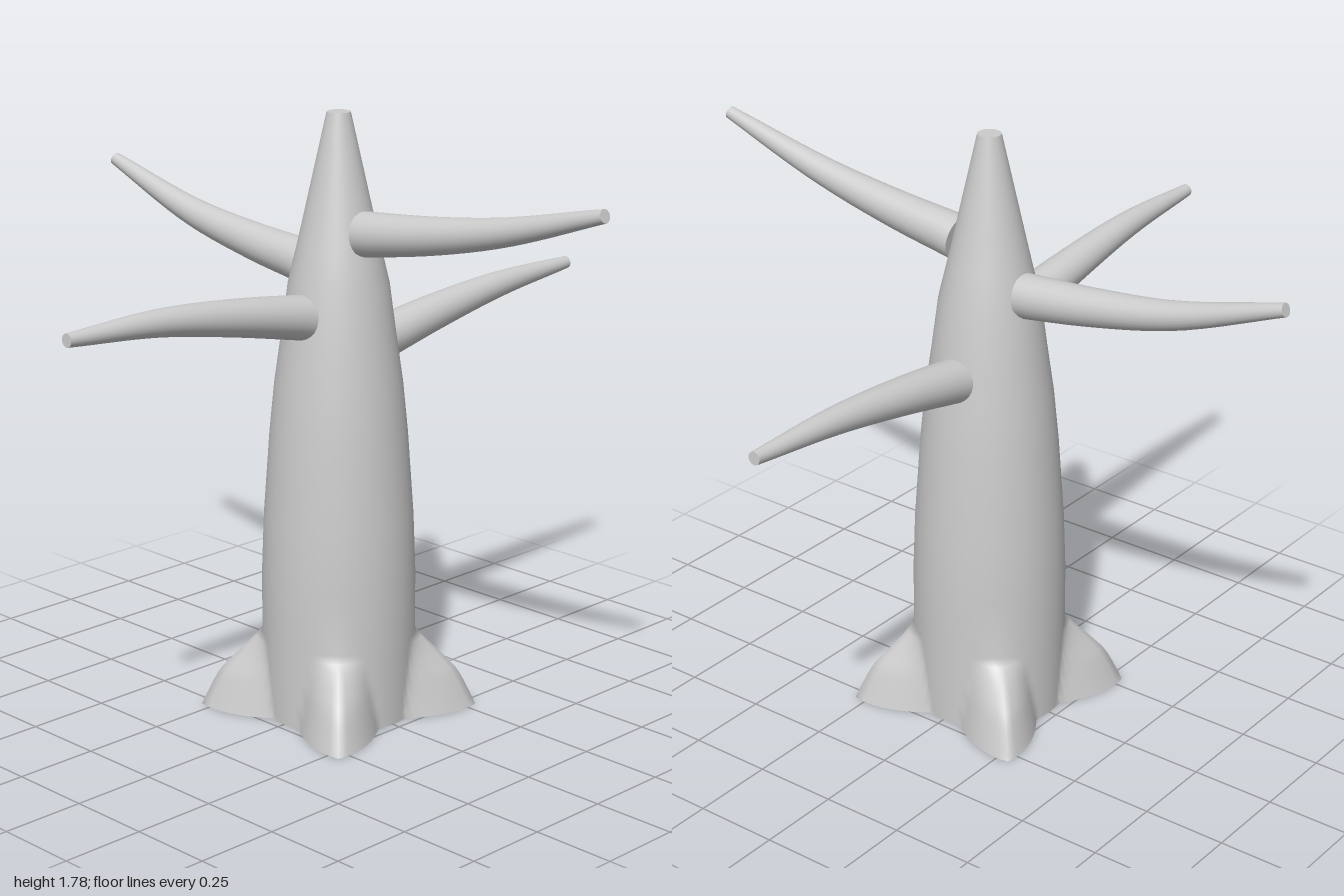
import * as THREE from 'three';
import { mergeVertices } from 'three/addons/utils/BufferGeometryUtils.js';

const material = new THREE.MeshStandardMaterial({ color: 0xcccccc });
const SIDES = 96;
const BODY_R = 0.225;
const ROOT_TOP = 0.24;

const vec = (a) => new THREE.Vector3(...a);

// Pushes the lower trunk out into four pointed roots along the diagonals
const rootReach = new THREE.SplineCurve(
  [[0, 0.407], [0.1, 0.358], [0.15, 0.316], [0.24, 0.225]].map(([y, r]) => new THREE.Vector2(y, r)));
function flareRoots(geometry) {
  const p = geometry.attributes.position;
  for (let i = 0; i < p.count; i++) {
    const x = p.getX(i), y = p.getY(i), z = p.getZ(i);
    const r = Math.hypot(x, z);
    if (y >= ROOT_TOP || r < 0.01) continue;
    // find the ridge radius at this height
    let lo = 0, hi = 1;
    for (let k = 0; k < 20; k++) {
      const mid = (lo + hi) / 2;
      if (rootReach.getPoint(mid).x < y) lo = mid; else hi = mid;
    }
    const ridge = rootReach.getPoint(hi).y;
    const quarter = Math.PI / 2;
    const a = ((Math.atan2(z, x) % quarter) + quarter) % quarter;
    const off = Math.abs(a - Math.PI / 4);
    const width = THREE.MathUtils.degToRad(31 - 13 * y / ROOT_TOP);
    const d = Math.max(0, 1 - off / width);
    const fall = 0.75 * d + 0.25 * d * d * (3 - 2 * d);
    const s = (r + (ridge - BODY_R) * fall) / r;
    p.setXYZ(i, x * s, y, z * s);
  }
  return geometry;
}

// Smooth normals, with the seam welded
function smooth(geometry) {
  geometry.deleteAttribute('uv');
  geometry.deleteAttribute('normal');
  const welded = mergeVertices(geometry, 1e-5);
  welded.computeVertexNormals();
  return welded;
}

function addMesh(parent, name, geometry) {
  const mesh = new THREE.Mesh(geometry, material);
  mesh.name = name;
  parent.add(mesh);
  return mesh;
}

// Curved tapering branch with closed ends
function makeBranch(name, points, r0 = 0.065, r1 = 0.019) {
  const group = new THREE.Group();
  group.name = name;
  const curve = new THREE.CatmullRomCurve3(points.map(vec));
  const steps = 16, sides = 24;
  const tube = new THREE.TubeGeometry(curve, steps, 1, sides);
  const p = tube.attributes.position;
  const v = new THREE.Vector3();
  for (let i = 0; i <= steps; i++) {
    const t = i / steps;
    const centre = curve.getPointAt(t);
    const r = THREE.MathUtils.lerp(r0, r1, t) + 0.012 * t * (1 - t);
    for (let j = 0; j <= sides; j++) {
      const k = i * (sides + 1) + j;
      v.fromBufferAttribute(p, k).sub(centre).multiplyScalar(r).add(centre);
      p.setXYZ(k, v.x, v.y, v.z);
    }
  }
  addMesh(group, name + 'Shaft', smooth(tube));
  for (const [end, t, r, sign] of [['Root', 0, r0, -1], ['Tip', 1, r1, 1]]) {
    const cap = addMesh(group, name + end, new THREE.CircleGeometry(r, sides));
    cap.position.copy(curve.getPointAt(t));
    cap.lookAt(cap.position.clone().addScaledVector(curve.getTangentAt(t), sign));
  }
  return group;
}

export function createModel() {
  const model = new THREE.Group();
  model.name = 'treeTrunk';

  // Trunk with flared roots
  const profile = [];
  for (let i = 0; i <= 12; i++) profile.push(new THREE.Vector2(BODY_R, ROOT_TOP * i / 12));
  for (const [r, y] of [[0.225, 0.42], [0.218, 0.6], [0.2, 0.85], [0.185, 1.0], [0.165, 1.14],
    [0.145, 1.29], [0.119, 1.4], [0.092, 1.52], [0.034, 1.78]]) profile.push(new THREE.Vector2(r, y));
  addMesh(model, 'trunk', smooth(flareRoots(new THREE.LatheGeometry(profile, SIDES))));

  // Flat underside and cut top
  addMesh(model, 'trunkBase',
    flareRoots(new THREE.CircleGeometry(BODY_R, SIDES).rotateX(Math.PI / 2)));
  addMesh(model, 'trunkTop',
    new THREE.CircleGeometry(0.034, SIDES).rotateX(-Math.PI / 2).translate(0, 1.78, 0));

  // Four branches, each at its own height
  model.add(
    makeBranch('leftBranch', [[0.155, 1.09, 0], [0.4, 1.132, 0], [0.68, 1.167, 0], [0.995, 1.183, 0]]),
    makeBranch('rightBranch', [[-0.145, 1.212, 0], [-0.4, 1.257, 0], [-0.68, 1.294, 0], [-0.995, 1.305, 0]]),
    makeBranch('frontBranch', [[0, 1.445, 0.105], [0, 1.479, 0.35], [0, 1.532, 0.62], [0, 1.63, 0.967]]),
    makeBranch('backBranch', [[0, 1.328, -0.125], [0, 1.354, -0.35], [0, 1.402, -0.62], [0, 1.512, -0.967]]),
  );
  return model;
}
